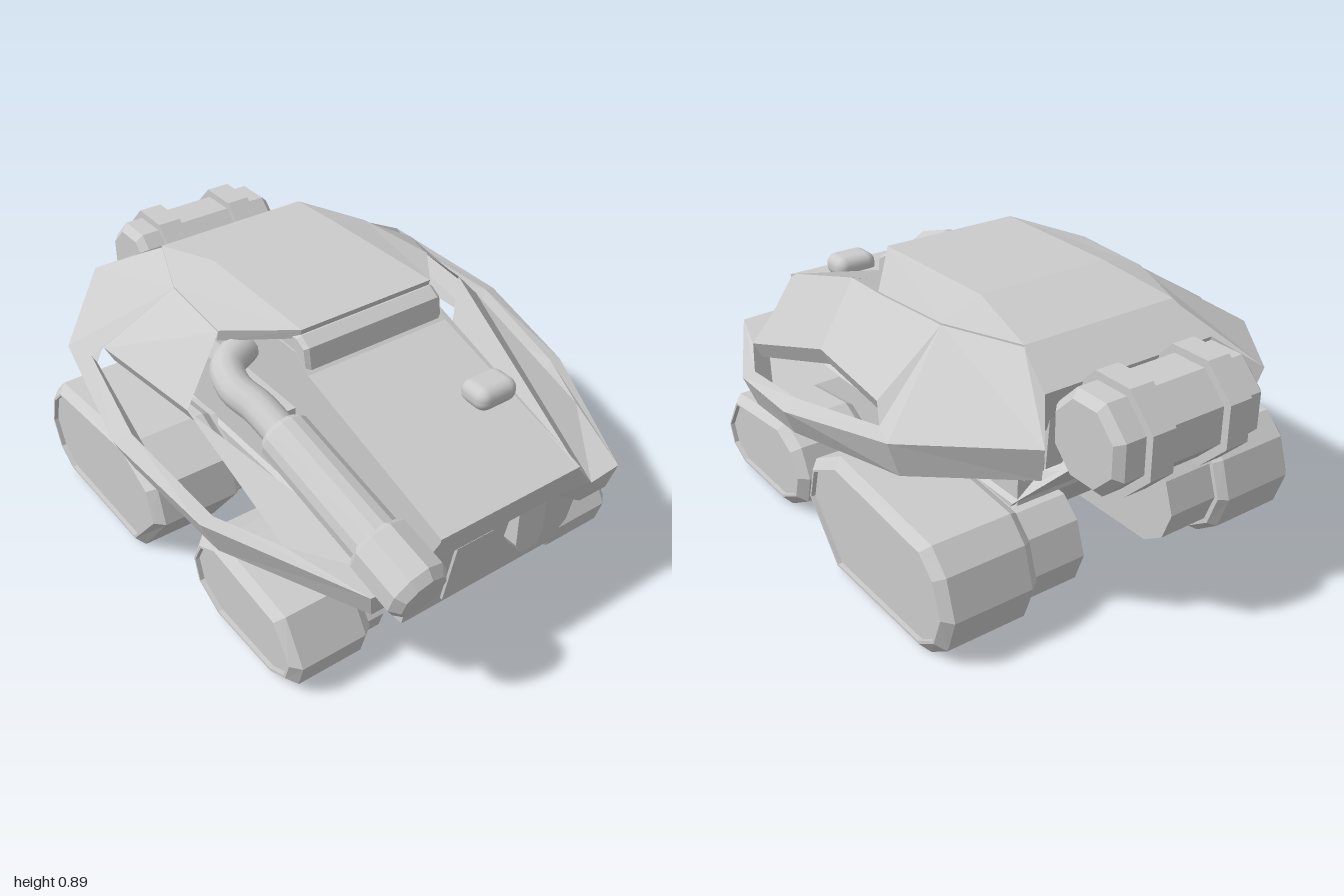
import * as THREE from 'three';
import { RoundedBoxGeometry } from 'three/addons/geometries/RoundedBoxGeometry.js';

const solid = new THREE.MeshStandardMaterial({ color: 0xcccccc, flatShading: true });
const sheet = new THREE.MeshStandardMaterial({ color: 0xcccccc, flatShading: true, side: THREE.DoubleSide });
const smooth = new THREE.MeshStandardMaterial({ color: 0xcccccc });

// Polygons (lists of corner points) to a faceted geometry; side -1 mirrors across x = 0
function facets(polys, side = 1) {
  const pos = [];
  for (const p of polys) {
    for (let i = 1; i < p.length - 1; i++) {
      const tri = side > 0 ? [p[0], p[i], p[i + 1]] : [p[0], p[i + 1], p[i]];
      for (const [x, y, z] of tri) pos.push(x * side, y, z);
    }
  }
  const g = new THREE.BufferGeometry();
  g.setAttribute('position', new THREE.Float32BufferAttribute(pos, 3));
  g.computeVertexNormals();
  return g;
}

// Loft a (z, y) outline along x; each ring is [x, inset]
function loftX(outline, rings, side = 1) {
  const zs = outline.map(p => p[0]), ys = outline.map(p => p[1]);
  const z0 = Math.min(...zs), z1 = Math.max(...zs), y0 = Math.min(...ys), y1 = Math.max(...ys);
  const cz = (z0 + z1) / 2, cy = (y0 + y1) / 2;
  const loops = rings.map(([x, d]) => outline.map(([z, y]) => [
    x, cy + (y - cy) * (1 - 2 * d / (y1 - y0)), cz + (z - cz) * (1 - 2 * d / (z1 - z0))]));
  const polys = [[...loops[0]].reverse(), loops[loops.length - 1]];
  for (let k = 0; k < loops.length - 1; k++) {
    const a = loops[k], b = loops[k + 1];
    for (let i = 0; i < a.length; i++) {
      const j = (i + 1) % a.length;
      polys.push([a[i], a[j], b[j], b[i]]);
    }
  }
  return facets(polys, side);
}

export function createModel() {
  const model = new THREE.Group();
  const add = (name, geo, mat = solid) => {
    const m = new THREE.Mesh(geo, mat);
    m.name = name;
    model.add(m);
    return m;
  };
  const box = (name, x0, x1, y0, y1, z0, z1) => {
    const m = add(name, new THREE.BoxGeometry(x1 - x0, y1 - y0, z1 - z0));
    m.position.set((x0 + x1) / 2, (y0 + y1) / 2, (z0 + z1) / 2);
    return m;
  };

  // Track pods with chamfered rims, recessed outer plates and inner hubs
  const rearPod = [[.03, .22], [-.14, .01], [-.65, .01], [-.735, .07], [-.775, .19], [-.735, .32],
    [-.665, .39], [-.165, .435], [-.005, .35]];
  const frontPod = [[.735, .145], [.71, .06], [.62, .01], [.29, .01], [.17, .08], [.145, .18],
    [.19, .28], [.29, .335], [.65, .29]];
  const podRings = (hub, inner, outer) => [[hub, .035], [inner - .03, .035], [inner - .03, .02],
    [inner, 0], [outer - .03, 0], [outer, .03], [outer, .038], [outer - .015, .038]];

  // Fender shell corners for the left (+x) half
  const H0 = [.26, .585, .9], H1 = [.275, .765, .3], R0 = [.36, .465, .88];
  const P1 = [.41, .845, .17], P2 = [.415, .85, 0], P3 = [.39, .85, -.31], P4 = [.285, .85, -.57], P5 = [.32, .77, -.71];
  const T = [.42, .69, -.84];
  const O = [[.49, .465, .87], [.73, .5, .37], [.785, .57, -.04], [.7, .645, -.5], T];
  const S0 = [.585, .5, .59], S1 = [.585, .675, .08], S2 = [.64, .695, -.35];
  const L = [S0, [.685, .51, .37], [.73, .59, -.02], [.665, .645, -.4]];
  const B = [[.47, .375, .85], [.68, .38, .38], [.74, .47, -.01], [.665, .53, -.5], [.405, .575, -.81]];
  const inset = B.map(([x, y, z]) => [x - .06, y + .01, z]);
  const C1 = [.2, .49, .88], C2 = [.355, .375, .85];

  for (const side of [1, -1]) {
    const tag = side > 0 ? 'left' : 'right';
    add(tag + 'RearTrack', loftX(rearPod, podRings(.18, .4, .7), side));
    add(tag + 'FrontTrack', loftX(frontPod, podRings(.3, .395, .655), side));

    const polys = [
      [P2, S1, S2, P3], [P3, S2, L[3], O[3]], [P3, O[3], T, P4], [P4, T, P5],
      [R0, O[0], S0, S1],
      [H0, C1, R0], [C1, C2, R0], [R0, C2, B[0], O[0]],
      [C2, [.355, .38, .4], B[1], B[0]],
      [P5, T, B[4], [.3, .62, -.66]],
    ];
    // The right side stays open in front, making a channel for the exhaust
    if (side > 0) polys.push([H0, R0, P1, H1], [R0, S1, P1], [P1, S1, P2]);
    // Rim around the side slot, lower band and underside
    for (let i = 0; i < 4; i++) {
      polys.push([O[i], B[i], B[i + 1], O[i + 1]], [B[i], inset[i], inset[i + 1], B[i + 1]]);
      if (i < 3) polys.push([O[i], O[i + 1], L[i + 1], L[i]]);
    }
    polys.push([O[0], L[0], L[0]].slice(0, 2).concat([L[0]]));
    for (let i = 0; i < 3; i++) polys.push([L[i], L[i + 1], inset[i + 1], inset[i]]);
    // Inner lip along the upper edge of the slot
    const drop = ([x, y, z]) => [x - .03, y - .06, z];
    polys.push([S0, S1, drop(S1), drop(S0)], [S1, S2, drop(S2), drop(S1)]);
    add(tag + 'Fender', facets(polys, side), sheet);

    // Side facets of the roof and its front lip
    const F = [.25, .905, .21], K = [.24, .905, -.3];
    const up = ([x, y, z]) => [x, y + .006, z];
    const low = ([x, y, z]) => [x, y - .035, z - .01];
    const M = [0, .905, .21], N = [0, .905, -.3], Q = [0, .856, -.57];
    add(tag + 'Roof', facets([
      [M, F, K, N], [N, K, up(P4), Q], [F, up(P2), up(P3), K], [K, up(P3), up(P4)],
      [M, low(M), low(F), F], [F, low(F), low(P2), up(P2)],
      [up(P2), P2, P3, up(P3)], [up(P3), P3, P4, up(P4)],
      [low(M), [0, .85, 0], low(P2), low(F)],
      [Q, up(P4), P5, [0, .77, -.71]], [[0, .77, -.71], P5, [.3, .62, -.66], [0, .62, -.66]],
    ], side), sheet);

    // Bracket between hull and rear drum
    const arm = [side * .12, side * .2].sort((a, b) => a - b);
    box(tag + 'DrumBracket', arm[0], arm[1], .56, .7, -.76, -.58);
    const strut = [side * .3, side * .37].sort((a, b) => a - b);
    box(tag + 'RearStrut', strut[0], strut[1], .5, .6, -.69, -.61);
  }

  // Hood, windscreen and cabin in one side profile
  add('cabin', loftX([[.9, .585], [.88, .49], [-.66, .49], [-.68, .74], [-.56, .83], [.2, .83], [.27, .78]],
    [[-.27, 0], [.27, 0]]));
  add('windscreen', loftX([[.26, .785], [0, .785], [0, .885], [.21, .885], [.25, .86]],
    [[-.265, .01], [-.25, 0], [.25, 0], [.265, .01]]));

  // Lower hull: wide chamfered sides, sloping nose and tail
  const half = [[.305, .185], [.305, .245], [.355, .27], [.355, .38], [.2, .5]];
  const section = [...half, ...half.map(([x, y]) => [-x, y]).reverse()];
  const front = section.map(([x, y]) => [x, y, .79 + (y - .185) * .2]);
  const back = section.map(([x, y]) => [x, y, -.46 - (y - .185) * .8]);
  const hull = [front, [...back].reverse()];
  front.forEach((p, i) => {
    const j = (i + 1) % front.length;
    hull.push([front[j], p, back[i], back[j]]);
  });
  add('lowerHull', facets(hull));
  box('upperHull', -.34, .34, .37, .62, -.62, .2);

  // Nose door, latch tab and hood knob
  const door = box('noseDoor', -.16, -.02, .21, .46, .805, .83);
  door.rotation.x = .2;
  const tab = new THREE.Shape();
  tab.moveTo(-.055, .08).lineTo(-.055, -.04).lineTo(-.03, -.08).lineTo(.03, -.08).lineTo(.055, -.04).lineTo(.055, .08);
  add('noseTab', new THREE.ExtrudeGeometry(tab, { depth: .07, bevelEnabled: false })).position.set(.11, .41, .81);
  const knob = add('hoodKnob', new RoundedBoxGeometry(.155, .08, .12, 3, .036), smooth);
  knob.position.set(.187, .715, .575);

  // Rear drum with two raised bands
  const octagon = r => Array.from({ length: 8 }, (_, i) => {
    const a = (i + .5) * Math.PI / 4, c = r / Math.cos(Math.PI / 8);
    return [-.83 - c * Math.cos(a), .655 + c * Math.sin(a)];
  });
  add('rearDrum', loftX(octagon(.145), [[-.28, .025], [-.255, 0], [.255, 0], [.28, .025]]));
  for (const x of [-.148, .142]) {
    add('drumBand', loftX(octagon(.17), [[x - .042, 0], [x + .042, 0]]));
  }

  // Exhaust: straight barrel, collar, muzzle and bent feed pipe
  const start = new THREE.Vector3(-.425, .69, .35), end = new THREE.Vector3(-.385, .49, .97);
  const exhaust = new THREE.Group();
  exhaust.name = 'exhaust';
  exhaust.position.copy(start);
  exhaust.quaternion.setFromUnitVectors(new THREE.Vector3(0, 1, 0), end.clone().sub(start).normalize());
  const length = start.distanceTo(end);
  const turned = (name, pts, n) => {
    const m = new THREE.Mesh(new THREE.LatheGeometry(pts.map(p => new THREE.Vector2(...p)), n), solid);
    m.name = name;
    exhaust.add(m);
  };
  turned('exhaustBarrel', [[0, 0], [.07, 0], [.085, .02], [.085, .47], [0, .47]], 16);
  turned('exhaustMuzzle', [[0, .44], [.085, .44], [.104, .46], [.104, length - .03], [.08, length], [0, length]], 10);
  model.add(exhaust);
  const bend = new THREE.CatmullRomCurve3([[-.425, .68, .38], [-.435, .72, .25], [-.455, .745, .15], [-.43, .77, .07],
    [-.34, .78, .02]].map(p => new THREE.Vector3(...p)));
  add('exhaustElbow', new THREE.TubeGeometry(bend, 20, .055, 12), smooth);

  return model;
}
